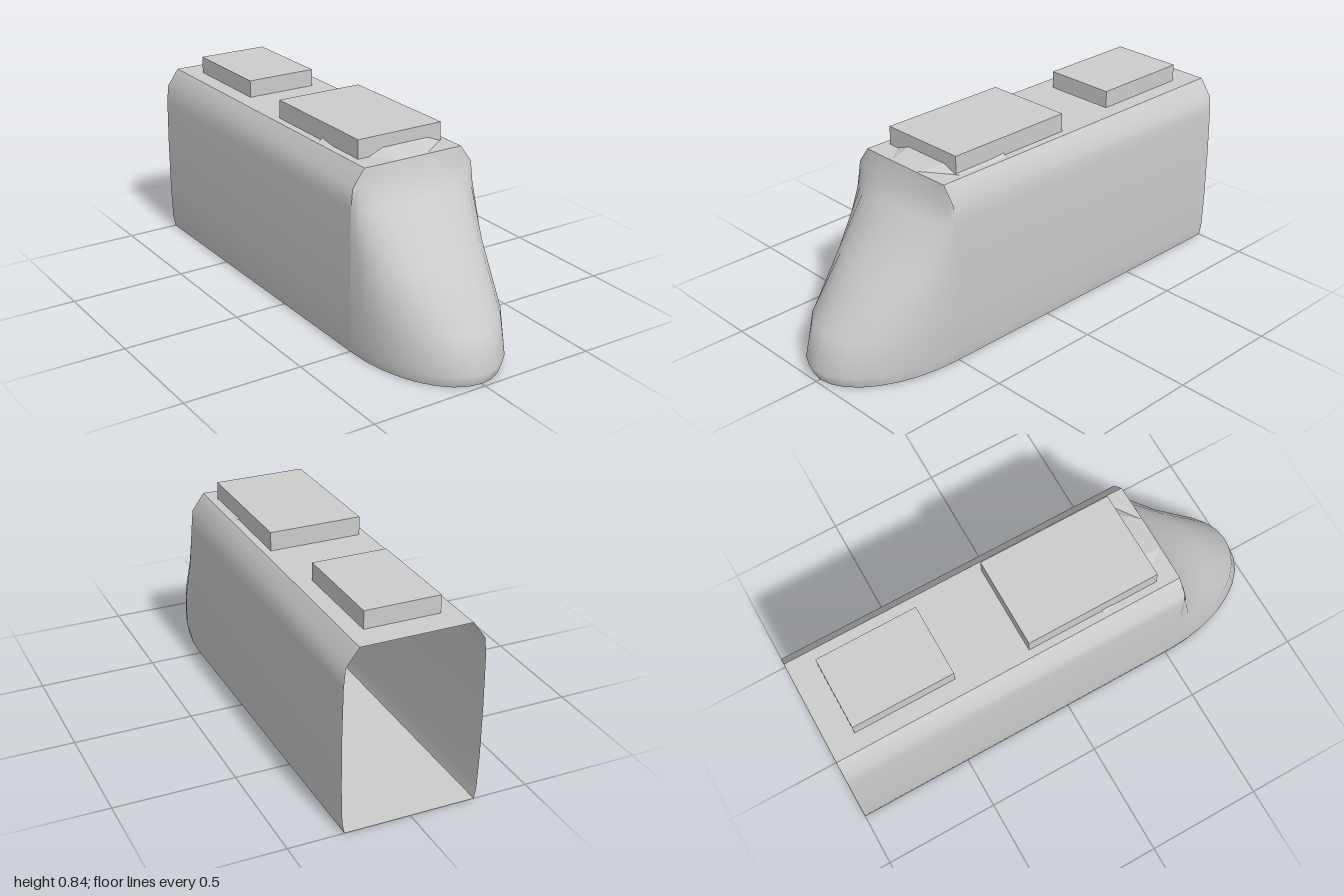
import * as THREE from 'three';

const shellGrey = new THREE.MeshStandardMaterial({ color: 0xcccccc, side: THREE.DoubleSide });
shellGrey.name = 'shellGrey';

const JOIN = 0.52; // where the nose meets the body
const REAR = -1;

// Shell levels: height, half width, foremost z of the nose
const LEVELS = [
  [0, 0.272, 0.98], [0.05, 0.281, 1.0], [0.2, 0.286, 0.955], [0.41, 0.287, 0.765],
  [0.61, 0.284, 0.58], [0.69, 0.277, 0.54], [0.762, 0.225, 0.522],
];

// Surface through rows of points with equal counts
function loft(rows, flat = false) {
  const n = rows[0].length;
  const index = [];
  for (let i = 0; i < rows.length - 1; i++) {
    for (let j = 0; j < n - 1; j++) {
      const a = i * n + j, c = a + n;
      index.push(a, c, a + 1, a + 1, c, c + 1);
    }
  }
  let geo = new THREE.BufferGeometry();
  geo.setAttribute('position', new THREE.Float32BufferAttribute(rows.flat(2), 3));
  geo.setIndex(index);
  if (flat) geo = geo.toNonIndexed();
  geo.computeVertexNormals();
  return geo;
}

// Half-oval plan of the nose at one level, from left to right
function nosePlan([y, w, front], steps = 16) {
  return Array.from({ length: steps + 1 }, (_, k) => {
    const a = (k / steps) * Math.PI;
    return [w * Math.cos(a), y, JOIN + (front - JOIN) * Math.sin(a)];
  });
}

export function createModel() {
  const model = new THREE.Group();
  model.name = 'trainCar';
  const add = (name, geo) => {
    const mesh = new THREE.Mesh(geo, shellGrey);
    mesh.name = name;
    model.add(mesh);
    return mesh;
  };

  // Curved side walls, open at the rear
  const left = z => LEVELS.map(([y, w]) => [w, y, z]);
  const right = z => LEVELS.map(([y, w]) => [-w, y, z]).reverse();
  add('leftWall', loft([left(JOIN), left(REAR)]));
  add('rightWall', loft([right(JOIN), right(REAR)]));

  // Flat roof
  const [roofY, roofW] = LEVELS[LEVELS.length - 1];
  const roofRow = z => [[roofW, roofY, z], [-roofW, roofY, z]];
  add('roof', loft([roofRow(JOIN), roofRow(REAR)]));

  // Sloping rounded nose and its thin top lip
  add('nose', loft(LEVELS.map(l => nosePlan(l))));
  const lip = nosePlan(LEVELS[LEVELS.length - 1]);
  add('noseLip', loft([lip, lip.map(([x, y]) => [x, y, JOIN])]));

  // Floor following the plan of the nose
  const outline = nosePlan(LEVELS[0]).map(([x, , z]) => new THREE.Vector2(x, z));
  outline.push(new THREE.Vector2(-LEVELS[0][1], REAR), new THREE.Vector2(LEVELS[0][1], REAR));
  add('floor', new THREE.ShapeGeometry(new THREE.Shape(outline)).rotateX(Math.PI / 2));

  // Low fairing in front of the forward roof unit
  add('roofFairing', loft([
    [[0.08, 0.763, 0.515], [0.07, 0.763, 0.515], [-0.07, 0.763, 0.515], [-0.08, 0.763, 0.515]],
    [[0.205, 0.763, 0.42], [0.13, 0.788, 0.43], [-0.08, 0.788, 0.43], [-0.15, 0.763, 0.42]],
    [[0.21, 0.763, 0.18], [0.19, 0.775, 0.18], [-0.19, 0.775, 0.18], [-0.21, 0.763, 0.18]],
  ], true));

  // Roof equipment boxes: name, half width, top, rear z, front z
  for (const [name, w, top, z0, z1] of [
    ['frontRoofUnit', 0.193, 0.84, -0.147, 0.43],
    ['rearRoofUnit', 0.155, 0.835, -0.887, -0.453],
  ]) {
    const unit = add(name, new THREE.BoxGeometry(2 * w, top - roofY, z1 - z0));
    unit.position.set(0, (top + roofY) / 2, (z0 + z1) / 2);
  }
  return model;
}
